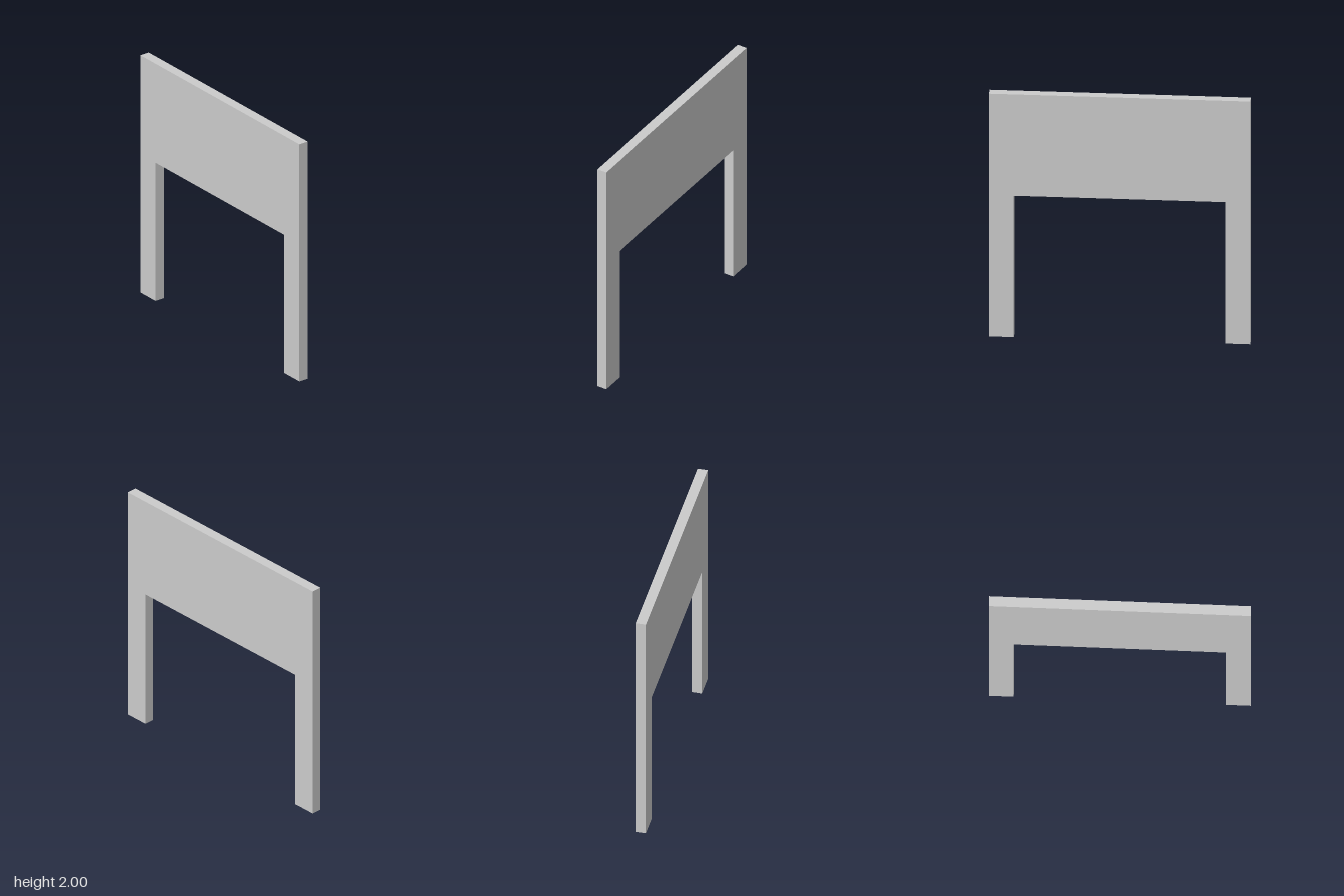
import * as THREE from 'three';

const HALF_WIDTH = 1, HEIGHT = 2, DEPTH = 0.08;
const OPENING_HALF = 0.81, OPENING_TOP = 1.165;

export function createModel() {
  const model = new THREE.Group();
  model.name = 'archPanel';

  // One outline: upper panel with a leg at each end
  const outline = new THREE.Shape([
    [-HALF_WIDTH, 0], [-OPENING_HALF, 0], [-OPENING_HALF, OPENING_TOP],
    [OPENING_HALF, OPENING_TOP], [OPENING_HALF, 0], [HALF_WIDTH, 0],
    [HALF_WIDTH, HEIGHT], [-HALF_WIDTH, HEIGHT],
  ].map(([x, y]) => new THREE.Vector2(x, y)));

  const geometry = new THREE.ExtrudeGeometry(outline, { depth: DEPTH, bevelEnabled: false });
  geometry.translate(0, 0, -DEPTH / 2);

  const panel = new THREE.Mesh(geometry, new THREE.MeshStandardMaterial({ color: 0xcccccc }));
  panel.name = 'panelWithLegs';
  model.add(panel);
  return model;
}
